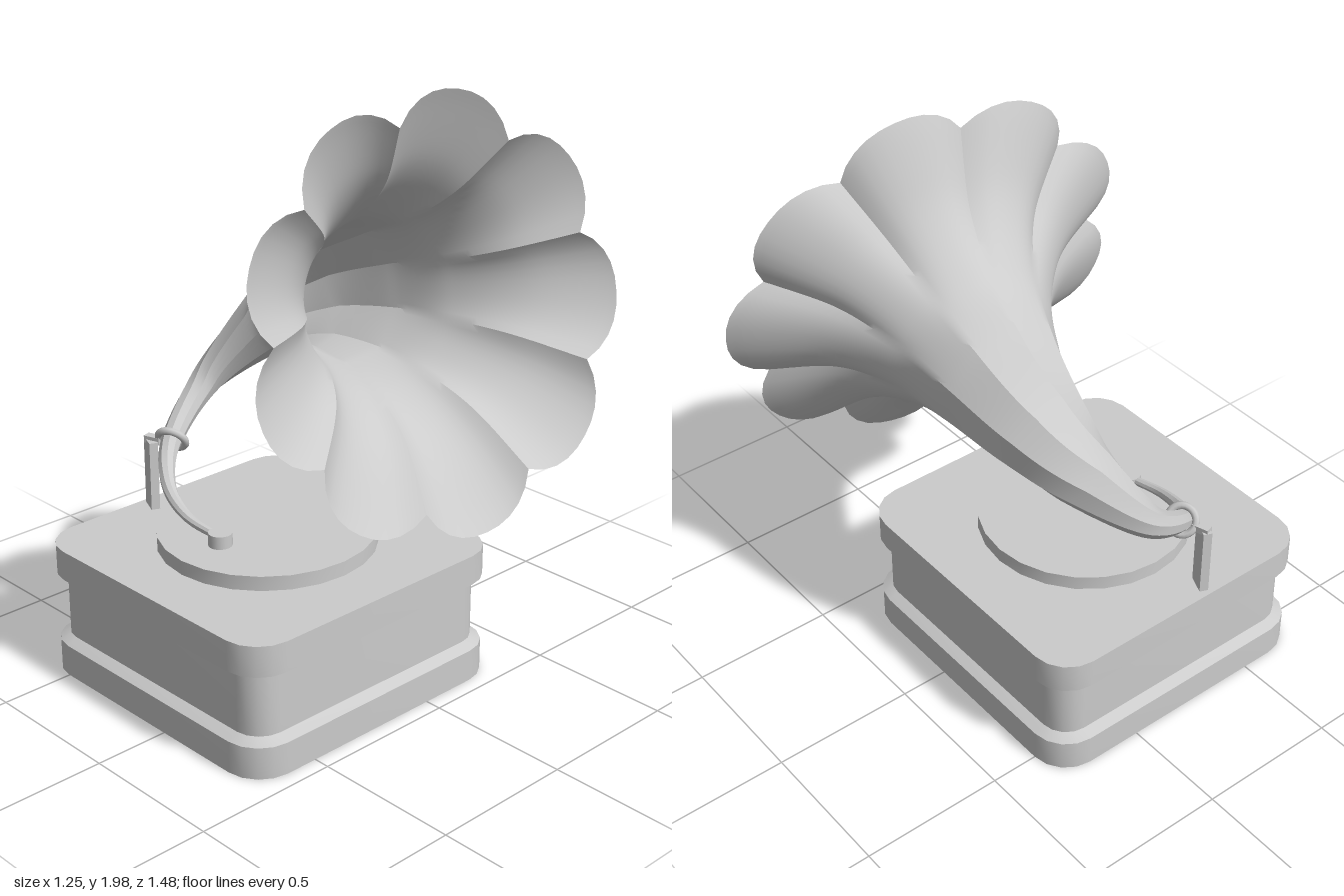
import * as THREE from 'three';
import { toCreasedNormals } from 'three/addons/utils/BufferGeometryUtils.js';

const V = (x, y, z) => new THREE.Vector3(x, y, z);
const grey = new THREE.MeshStandardMaterial({ color: 0xcccccc });
const greyThin = new THREE.MeshStandardMaterial({ color: 0xcccccc, side: THREE.DoubleSide });

// Skin a surface over closed rings that all have the same number of points
function loft(rings, crease) {
  const n = rings[0].length, pos = [], idx = [];
  rings.forEach(r => r.forEach(p => pos.push(p.x, p.y, p.z)));
  for (let i = 0; i < rings.length - 1; i++) {
    for (let j = 0; j < n; j++) {
      const a = i * n + j, b = i * n + (j + 1) % n;
      idx.push(a, b, a + n, b, b + n, a + n);
    }
  }
  const g = new THREE.BufferGeometry();
  g.setAttribute('position', new THREE.Float32BufferAttribute(pos, 3));
  g.setIndex(idx);
  return toCreasedNormals(g, crease);
}

// Rounded square ring, running so that rising rings face outward
function squareRing(half, radius, y, steps = 4) {
  const ring = [];
  for (let c = 0; c < 4; c++) {
    const mid = Math.PI / 4 + c * Math.PI / 2, k = (half - radius) * Math.SQRT2;
    for (let s = 0; s <= steps; s++) {
      const a = c * Math.PI / 2 + s / steps * Math.PI / 2;
      ring.push(V(k * Math.cos(mid) + radius * Math.cos(a), y, -k * Math.sin(mid) - radius * Math.sin(a)));
    }
  }
  return ring;
}

// Tonearm and horn share one path: x, y, z, radius
const stations = [
  [-0.09, 0.545, 0.415, 0.014],
  [-0.25, 0.573, 0.425, 0.018],
  [-0.40, 0.625, 0.375, 0.025],
  [-0.51, 0.715, 0.265, 0.036],
  [-0.567, 0.86, 0.06, 0.055],
  [-0.45, 1.05, -0.10, 0.11],
  [-0.30, 1.165, -0.155, 0.16],
  [-0.10, 1.235, -0.15, 0.22],
  [0.09, 1.27, -0.12, 0.30],
  [0.27, 1.30, -0.085, 0.45],
  [0.43, 1.31, -0.045, 0.70],
];
const path = new THREE.CatmullRomCurve3(stations.map(s => V(s[0], s[1], s[2])), false, 'catmullrom');
const radii = new THREE.CatmullRomCurve3(stations.map(s => V(s[3], 0, 0)), false, 'catmullrom');
const mouthNormal = V(1, 0.224, 0.175).normalize();
const PETALS = 9, PER = 10;

function hornRing(t) {
  const centre = path.getPoint(t), radius = radii.getPoint(t).x;
  const tangent = path.getTangent(t).lerp(mouthNormal, THREE.MathUtils.smoothstep(t, 0.6, 0.95)).normalize();
  const side = V(0, 1, 0).cross(tangent).normalize();
  const up = tangent.clone().cross(side);
  const bloom = Math.pow(THREE.MathUtils.smoothstep(t, 0.6, 1), 1.5);
  const ring = [];
  for (let j = 0; j < PETALS * PER; j++) {
    const local = (j % PER) / PER * 2 - 1;          // -1..1 across one petal
    const half = Math.PI / PETALS;
    const angle = THREE.MathUtils.degToRad(97) + j / (PETALS * PER) * Math.PI * 2;
    const facet = Math.cos(half) / Math.cos(local * half);   // flat-sided tube
    const petal = 0.855 + 0.145 * (1 - Math.pow(Math.abs(local), 2.4)); // scallop
    const r = radius * THREE.MathUtils.lerp(facet, petal, bloom);
    ring.push(centre.clone()
      .addScaledVector(side, r * Math.cos(angle))
      .addScaledVector(up, r * Math.sin(angle)));
  }
  return ring;
}

export function createModel() {
  const group = new THREE.Group();
  const add = (name, geometry, material, x = 0, y = 0, z = 0) => {
    const m = new THREE.Mesh(geometry, material);
    m.name = name;
    m.position.set(x, y, z);
    group.add(m);
    return m;
  };

  // Cabinet: stepped rounded box, open underneath
  const profile = [[0.5375, 0], [0.5375, 0.11], [0.502, 0.13], [0.502, 0.335], [0.5375, 0.355], [0.5375, 0.46]];
  const rings = profile.map(([h, y]) => squareRing(h, 0.13 - (0.5375 - h), y));
  rings.push(rings[0].map(() => V(0, 0.46, 0)));
  add('cabinet', loft(rings, 0.55), greyThin, -0.0925, 0, 0.205);

  // Turntable, very slightly tilted
  const platter = toCreasedNormals(new THREE.CylinderGeometry(0.366, 0.366, 0.05, 24), 0.6);
  add('platter', platter, grey, -0.09, 0.499, 0.212).rotation.x = 0.012;
  add('spindle', new THREE.CylinderGeometry(0.02, 0.02, 0.04, 12), grey, -0.09, 0.475, 0.212);

  // Tonearm and flower horn
  const split = 0.3, steps = 70;
  const section = (a, b, n) => Array.from({ length: n + 1 }, (_, i) => hornRing(a + (b - a) * i / n));
  add('tonearm', loft(section(0, split, 20), 0.5), greyThin);
  add('horn', loft(section(split, 1, steps), 0.5), greyThin);

  // Sound box on the end of the tonearm
  add('soundBox', new THREE.CylinderGeometry(0.04, 0.04, 0.045, 20), grey, -0.09, 0.543, 0.415);

  // Support post with a collar around the horn's neck
  add('supportPost', new THREE.BoxGeometry(0.07, 0.25, 0.03), grey, -0.575, 0.58, 0.305).rotation.y = -0.4;
  const collar = add('collar', new THREE.TorusGeometry(0.048, 0.013, 8, 24), grey, -0.51, 0.715, 0.265);
  collar.quaternion.setFromUnitVectors(V(0, 0, 1), path.getTangent(0.3));
  const arm = add('collarArm', new THREE.BoxGeometry(0.06, 0.025, 0.03), grey, -0.572, 0.705, 0.295);
  arm.rotation.y = 0.3;

  return group;
}
